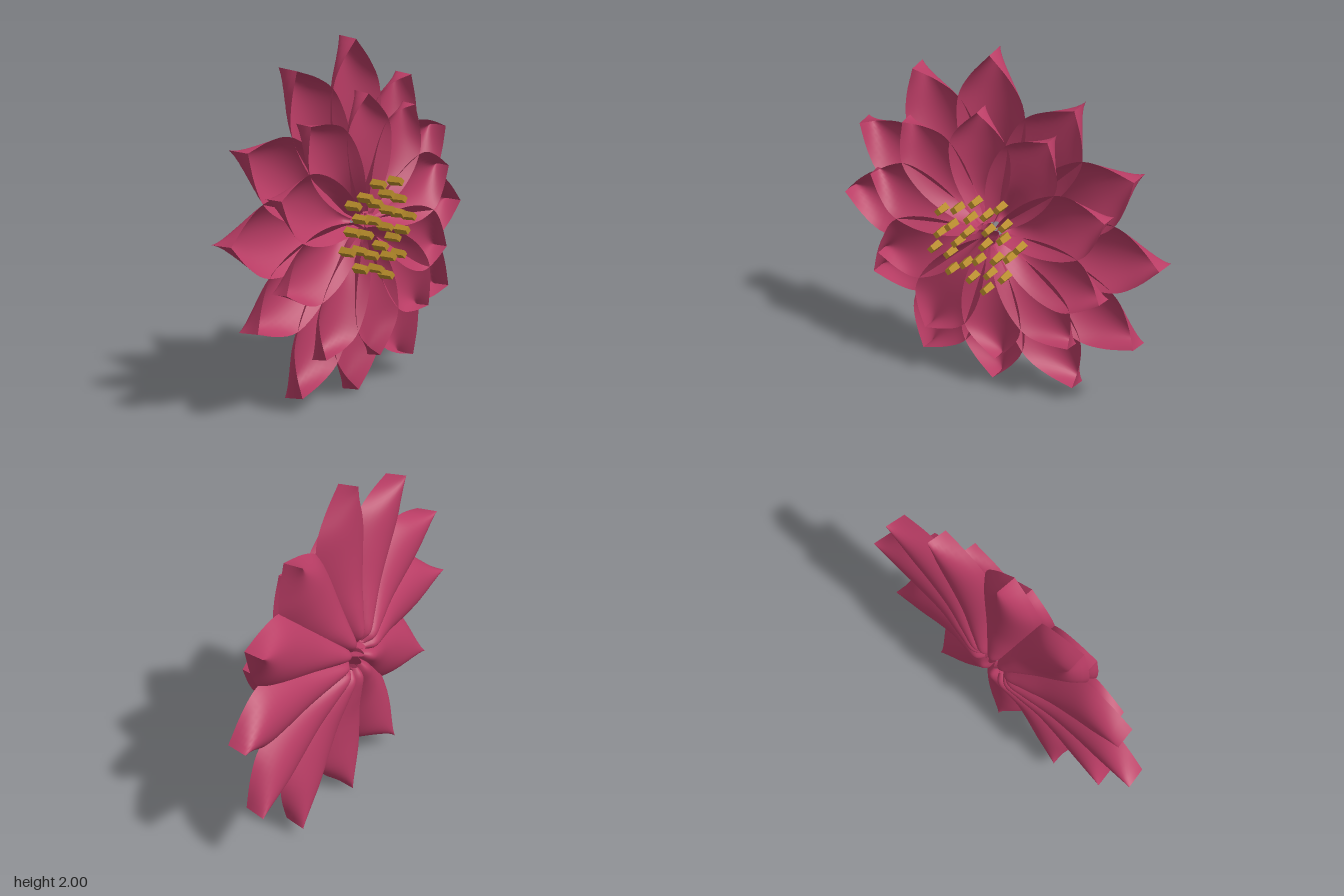
import * as THREE from 'three';

const CENTER_Y = 0.98;

// Petal profile from base to tip: (distance, half width, keel depth)
const profile = new THREE.CatmullRomCurve3([
  [0.085, 0.035, -0.150], [0.14, 0.07, -0.185], [0.25, 0.122, -0.172], [0.42, 0.18, -0.142],
  [0.6, 0.207, -0.131], [0.76, 0.192, -0.131], [0.88, 0.118, -0.132], [1, 0, -0.132],
].map((p) => new THREE.Vector3(...p)));

// A cupped petal: U-shaped cross-sections that pinch into an upright fold at the tip
function petalGeometry(length, widthScale, depthScale) {
  const rows = 28, cols = 16, positions = [], index = [];
  for (let i = 0; i <= rows; i++) {
    const p = profile.getPoint(i / rows);
    const rim = -0.012 - 0.08 * Math.pow(1 - p.x, 5);
    for (let j = 0; j <= cols; j++) {
      const v = (j / cols) * 2 - 1;
      const lift = Math.pow(Math.abs(v), 2.2);
      const z = THREE.MathUtils.lerp(p.z, rim, lift);
      const lean = 0.018 * lift * p.x;
      positions.push(Math.max(p.y, 0) * widthScale * v, (p.x - lean) * length, z * depthScale);
      if (i < rows && j < cols) {
        const a = i * (cols + 1) + j, b = a + cols + 1;
        index.push(a, a + 1, b, a + 1, b + 1, b);
      }
    }
  }
  const geo = new THREE.BufferGeometry();
  geo.setAttribute('position', new THREE.Float32BufferAttribute(positions, 3));
  geo.setIndex(index);
  geo.computeVertexNormals();
  return geo;
}

// One ring of petals, each aimed at its own tip position
function petalRing(name, tips, widthScale, depthScale, z, material) {
  const ring = new THREE.Group();
  ring.name = name;
  for (const [x, y] of tips) {
    const dy = y - CENTER_Y;
    const petal = new THREE.Mesh(petalGeometry(Math.hypot(x, dy), widthScale, depthScale), material);
    petal.name = 'petal';
    petal.rotation.z = Math.atan2(-x, dy);
    ring.add(petal);
  }
  ring.position.set(0, CENTER_Y, z);
  return ring;
}

export function createModel() {
  const petalPink = new THREE.MeshStandardMaterial({ color: 0xb83c64 });
  petalPink.name = 'petalPink';
  petalPink.side = THREE.DoubleSide;
  const stamenGold = new THREE.MeshStandardMaterial({ color: 0xb58a2a });
  stamenGold.name = 'stamenGold';
  stamenGold.flatShading = true;

  const flower = new THREE.Group();
  flower.name = 'flower';

  // Twelve outer petals
  flower.add(petalRing('outerPetals', [
    [-0.02, 2], [0.48, 1.78], [0.83, 1.45], [1, 0.97], [0.88, 0.45], [0.52, 0.09],
    [0, 0], [-0.48, 0.07], [-0.82, 0.51], [-1, 1], [-0.87, 1.46], [-0.5, 1.85],
  ], 1, 1, 0, petalPink));

  // Ten inner petals
  flower.add(petalRing('innerPetals', [
    [-0.04, 1.71], [0.38, 1.62], [0.72, 1.23], [0.71, 0.74], [0.53, 0.41],
    [0.07, 0.21], [-0.4, 0.29], [-0.71, 0.71], [-0.74, 1.21], [-0.51, 1.57],
  ], 0.9, 0.8, 0.1, petalPink));

  // Four-sided stamens scattered in front of the centre
  const stamens = new THREE.Group();
  stamens.name = 'stamens';
  const stamenGeo = new THREE.CylinderGeometry(0.023, 0.028, 0.085, 4).rotateX(Math.PI / 2);
  [
    [-0.02, 1.21], [0.13, 1.21], [-0.13, 1.15], [0.05, 1.15], [-0.23, 1.12], [-0.05, 1.11],
    [0.16, 1.11], [-0.17, 1.04], [0.06, 1.06], [-0.07, 1.02], [0.15, 1.03], [0.25, 1.0],
    [-0.24, 0.98], [-0.13, 0.95], [0.04, 0.97], [0.19, 0.93], [-0.28, 0.88], [-0.18, 0.87],
    [0, 0.87], [0.11, 0.9], [-0.08, 0.83], [0.07, 0.8], [0.16, 0.8], [-0.17, 0.77],
    [-0.04, 0.75], [0.05, 0.7],
  ].forEach(([x, y], i) => {
    const stamen = new THREE.Mesh(stamenGeo, stamenGold);
    stamen.name = 'stamen';
    stamen.position.set(x, y, 0.145);
    stamen.rotation.z = 0.15 * Math.sin(i * 2.4);
    stamens.add(stamen);
  });
  flower.add(stamens);

  return flower;
}
